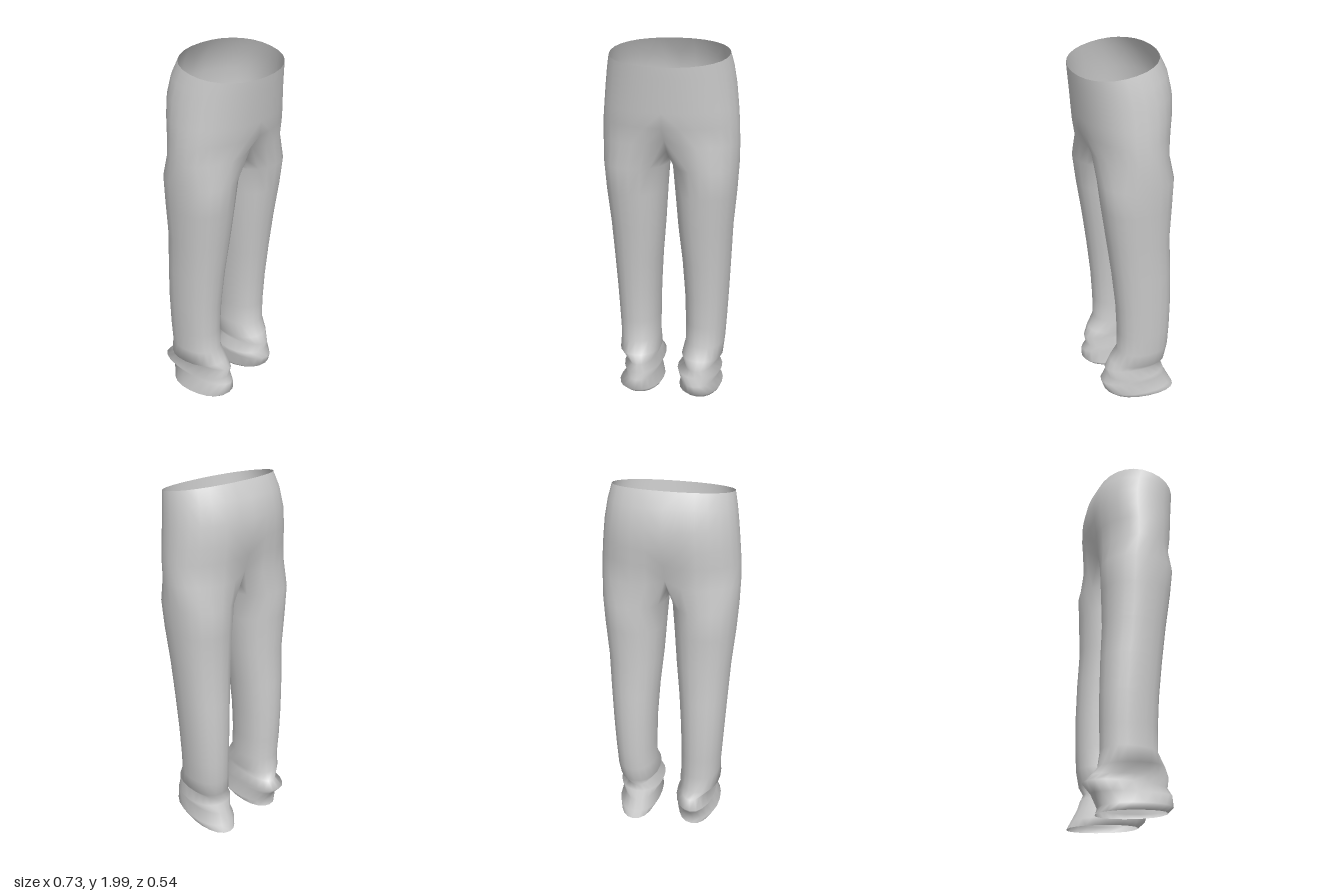
import * as THREE from 'three';
import { mergeVertices } from 'three/addons/utils/BufferGeometryUtils.js';

const N = 20;      // points around one leg
const OUTER = 14;  // points 0..OUTER run from front centre, round the outside, to back centre

// Hip rows: front y, back y, half width, front z, back z, crease depth at the back centre
const hips = [
  [1.91, 2.0, 0.312, 0.27, -0.15, 0],
  [1.85, 1.92, 0.328, 0.265, -0.19, 0],
  [1.77, 1.82, 0.342, 0.257, -0.213, 0.003],
  [1.68, 1.71, 0.353, 0.249, -0.213, 0.012],
  [1.60, 1.62, 0.361, 0.241, -0.203, 0.03],
];

// Leg rows: y, inner x, outer x, front z, back z, y tilt (front up, back down)
const legRows = [
  [1.37, 0.014, 0.363, 0.208, -0.188, 0],
  [1.22, 0.026, 0.354, 0.191, -0.182, 0],
  [1.02, 0.04, 0.336, 0.163, -0.175, 0],
  [0.82, 0.06, 0.326, 0.138, -0.185, 0],
  [0.62, 0.073, 0.316, 0.118, -0.19, 0],
  [0.45, 0.078, 0.307, 0.11, -0.188, 0],
  [0.33, 0.078, 0.3, 0.112, -0.183, 0],
];

// Crumpled cuffs, different on each leg
const leftCuff = [
  [0.25, 0.062, 0.293, 0.15, -0.17, 0.01],
  [0.205, 0.092, 0.252, 0.183, -0.15, 0.01],
  [0.165, 0.04, 0.292, 0.17, -0.165, 0],
  [0.12, 0.065, 0.265, 0.205, -0.185, 0.01],
  [0.06, 0.05, 0.292, 0.185, -0.215, 0.01],
  [0.025, 0.075, 0.278, 0.15, -0.235, 0.015],
];
const rightCuff = [
  [0.25, 0.07, 0.302, 0.15, -0.195, 0.01],
  [0.21, 0.085, 0.24, 0.185, -0.225, 0.01],
  [0.16, 0.058, 0.28, 0.17, -0.268, 0],
  [0.12, 0.08, 0.252, 0.2, -0.225, 0.01],
  [0.055, 0.05, 0.3, 0.195, -0.19, 0.01],
  [0.025, 0.065, 0.272, 0.17, -0.2, 0.015],
];

const soften = (v, e) => Math.sign(v) * Math.pow(Math.abs(v), e);

// Half a hip ring, from front centre to back centre
function hipRing([yf, yb, w, zf, zb, crease]) {
  const ring = [];
  for (let i = 0; i <= OUTER; i++) {
    const a = (i / OUTER) * Math.PI;
    const c = soften(Math.cos(a), 0.92);
    const x = i === 0 || i === OUTER ? 0 : w * soften(Math.sin(a), 0.92);
    const t = (1 - c) / 2;
    const dent = crease * Math.max(0, 1 - x / 0.13) * (c < 0 ? 1 : 0);
    ring.push([x, yf + (yb - yf) * t, zf + (zb - zf) * t + dent]);
  }
  return ring;
}

// Full ring where a thigh meets the hips; its inner points lie along the crotch seam
function crotchRing() {
  const ring = hipRing([1.5, 1.5, 0.366, 0.224, -0.196, 0.05]);
  ring.forEach((p) => {
    const near = Math.max(0, 1 - p[0] / 0.12);
    p[1] += 0.03 * near;
    if (p[2] > 0) p[2] -= 0.035 * near;
  });
  const front = ring[0], back = ring[OUTER];
  for (let i = OUTER + 1; i < N; i++) {
    const u = (i - OUTER) / (N - OUTER);
    const k = (2 * u - 1) ** 2;
    ring.push([0, 1.4 + 0.13 * k, back[2] + (front[2] - back[2]) * u]);
  }
  return ring;
}

function legRing([y, xi, xo, zf, zb, tilt]) {
  const ring = [];
  for (let i = 0; i < N; i++) {
    const a = (i / N) * Math.PI * 2 - Math.PI * 0.2;
    const s = soften(Math.sin(a), 0.92), c = soften(Math.cos(a), 0.92);
    ring.push([(xi + xo) / 2 + s * (xo - xi) / 2, y + tilt * c, (zf + zb) / 2 + c * (zf - zb) / 2]);
  }
  return ring;
}

function createModel() {
  const positions = [], indices = [];

  // Joins two rings with quads; side -1 mirrors and flips the corners
  function join(top, bottom, count, side) {
    for (let i = 0; i < count; i++) {
      const j = (i + 1) % top.length;
      const base = positions.length / 3;
      for (const [x, y, z] of [top[i], top[j], bottom[j], bottom[i]]) positions.push(x * side + 0, y, z);
      const quad = side > 0 ? [0, 3, 2, 0, 2, 1] : [0, 2, 3, 0, 1, 2];
      indices.push(...quad.map((q) => base + q));
    }
  }

  for (const side of [1, -1]) {
    const crotch = crotchRing();
    // Hips and seat
    const upper = [...hips.map(hipRing), crotch];
    for (let r = 0; r + 1 < upper.length; r++) join(upper[r], upper[r + 1], OUTER, side);
    // Leg and cuff
    const cuff = side > 0 ? leftCuff : rightCuff;
    const lower = [crotch, ...[...legRows, ...cuff].map(legRing)];
    for (let r = 0; r + 1 < lower.length; r++) join(lower[r], lower[r + 1], N, side);
  }

  let geometry = new THREE.BufferGeometry();
  geometry.setAttribute('position', new THREE.Float32BufferAttribute(positions, 3));
  geometry.setIndex(indices);
  geometry = mergeVertices(geometry, 1e-4);
  geometry.computeVertexNormals();

  const cloth = new THREE.MeshStandardMaterial({ color: 0xcccccc, side: THREE.DoubleSide });
  cloth.name = 'grey cloth';
  const trousers = new THREE.Mesh(geometry, cloth);
  trousers.name = 'trousers';

  const model = new THREE.Group();
  model.name = 'trousers model';
  model.add(trousers);
  return model;
}

export { createModel };
